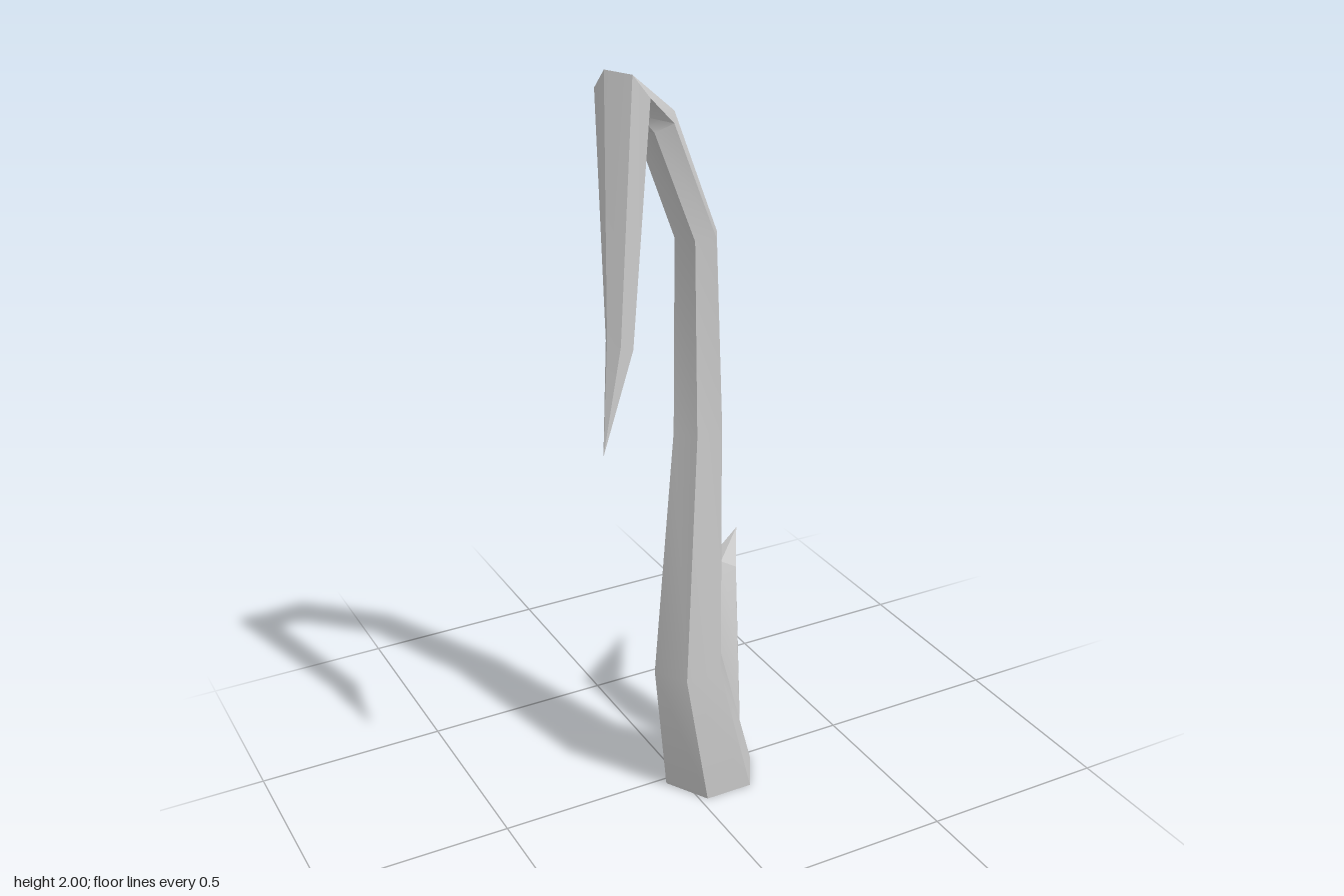
import * as THREE from 'three';
import { toCreasedNormals } from 'three/addons/utils/BufferGeometryUtils.js';

const SIDES = 6;

// Sweeps a hexagon through rings of { c: centre, r: radius, n: facing }, ending in a point.
function taperedStalk(name, rings, tip, material) {
  const points = [];
  const turn = new THREE.Quaternion();
  let previous = new THREE.Vector3(0, 1, 0);
  for (const { c, r, n = [0, 1, 0] } of rings) {
    const normal = new THREE.Vector3(...n).normalize();
    turn.premultiply(new THREE.Quaternion().setFromUnitVectors(previous, normal));
    previous = normal;
    for (let i = 0; i < SIDES; i++) {
      const a = (i / SIDES) * Math.PI * 2;
      const p = new THREE.Vector3(Math.cos(a) * r, 0, Math.sin(a) * r);
      p.applyQuaternion(turn).add(new THREE.Vector3(...c));
      points.push(p.x, p.y, p.z);
    }
  }
  points.push(...tip);

  const index = [];
  const last = rings.length - 1;
  const tipIndex = rings.length * SIDES;
  for (let i = 0; i < SIDES; i++) {
    const k = (i + 1) % SIDES;
    for (let j = 0; j < last; j++) {
      const a = j * SIDES + i, d = j * SIDES + k;
      const b = a + SIDES, c = d + SIDES;
      index.push(a, b, c, a, c, d);
    }
    index.push(last * SIDES + i, tipIndex, last * SIDES + k);
    // flat underside
    if (i > 0 && i < SIDES - 1) index.push(0, i, i + 1);
  }

  const geometry = new THREE.BufferGeometry();
  geometry.setAttribute('position', new THREE.Float32BufferAttribute(points, 3));
  geometry.setIndex(index);
  const mesh = new THREE.Mesh(toCreasedNormals(geometry, 0.5), material);
  mesh.name = name;
  return mesh;
}

export function createModel() {
  const group = new THREE.Group();
  group.name = 'hookedSprout';
  const material = new THREE.MeshStandardMaterial({ color: 0xcccccc });

  // tall stalk that arches over and hangs down to a point
  group.add(taperedStalk('tallStalk', [
    { c: [0.085, 0, 0.02], r: 0.13 },
    { c: [-0.008, 0.4, 0.073], r: 0.097 },
    { c: [0.02, 1.06, 0.068], r: 0.067 },
    { c: [-0.01, 1.565, 0.107], r: 0.055 },
    { c: [-0.135, 1.855, 0.148], r: 0.05, n: [-0.3, 0.93, 0.2] },
    { c: [-0.25, 1.943, 0.223], r: 0.065, n: [-0.68, -0.45, 0.5] },
    { c: [-0.278, 1.393, 0.25], r: 0.035, n: [-0.4, -0.9, 0.1] },
  ], [-0.34, 1.15, 0.287], material));

  // short shoot beside it, bent outwards into a spike
  group.add(taperedStalk('shortShoot', [
    { c: [0.165, 0, -0.055], r: 0.063 },
    { c: [0.155, 0.345, -0.05], r: 0.056 },
    { c: [0.177, 0.547, -0.09], r: 0.047, n: [0.46, 0.6, -0.66] },
  ], [0.34, 0.54, -0.288], material));

  return group;
}
